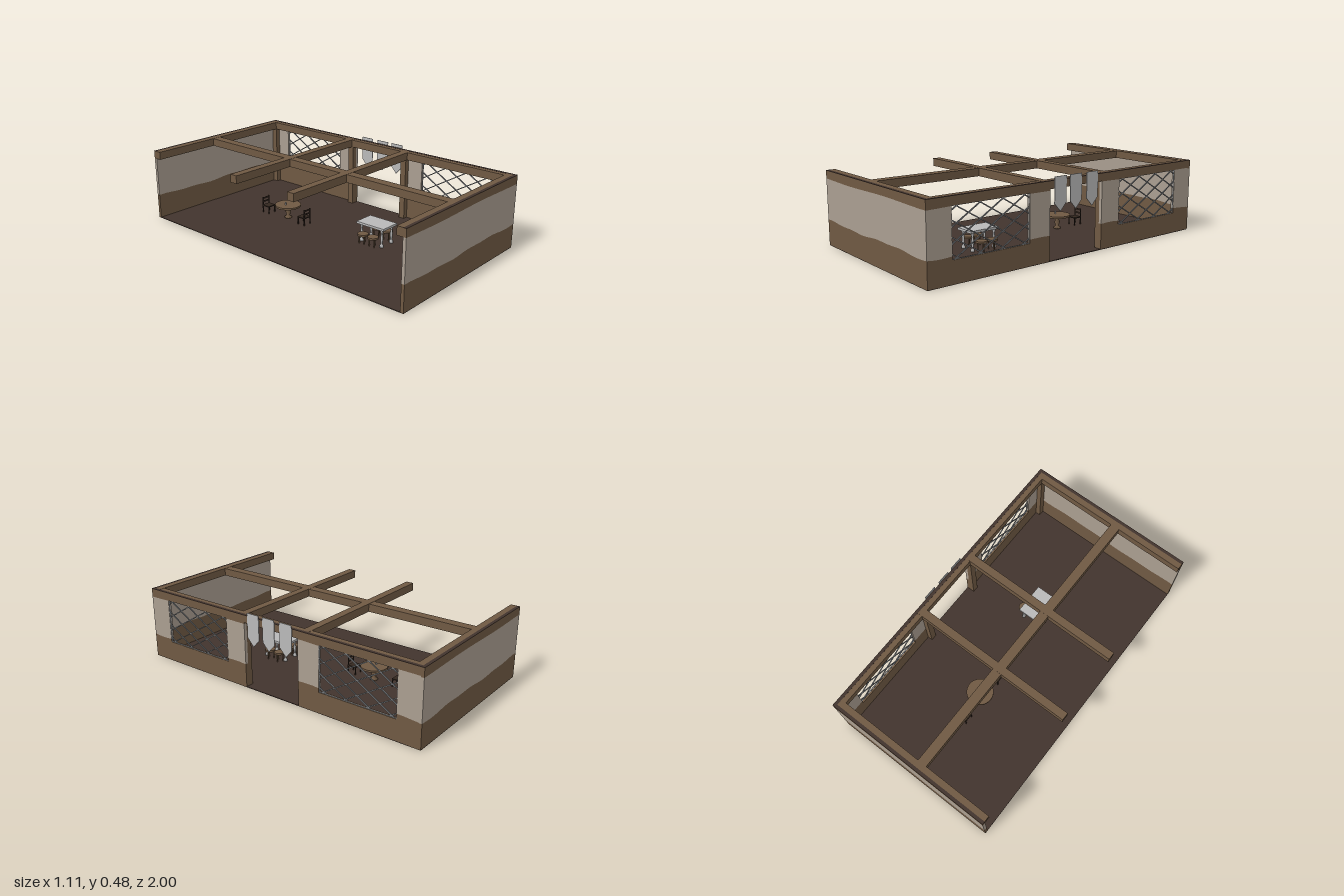
import * as THREE from 'three';

const mat = (name, color) => {
  const m = new THREE.MeshStandardMaterial({ color });
  m.name = name;
  return m;
};

export function createModel() {
  const model = new THREE.Group();
  model.name = 'timberHall';
  const wood = mat('brown timber', 0x6f5943);
  const plaster = mat('plaster', 0xaa9e91);
  const dark = mat('dark floor', 0x42342d);
  const cloth = mat('pale grey', 0xb9b9b9);
  const lead = mat('window lead', 0x85888b);
  const shade = mat('dark chair wood', 0x33271f);

  const add = (parent, name, geo, material, x = 0, y = 0, z = 0) => {
    const m = new THREE.Mesh(geo, material);
    m.name = name;
    m.position.set(x, y, z);
    parent.add(m);
    return m;
  };
  // Box given by its minimum and maximum corners
  const box = (parent, name, material, x0, x1, y0, y1, z0, z1) =>
    add(parent, name, new THREE.BoxGeometry(x1 - x0, y1 - y0, z1 - z0), material,
      (x0 + x1) / 2, (y0 + y1) / 2, (z0 + z1) / 2);
  const group = (name, parent = model) => {
    const g = new THREE.Group();
    g.name = name;
    parent.add(g);
    return g;
  };

  const H = 0.46, T = 0.02, X0 = -0.557, X1 = 0.545;
  box(model, 'floor', dark, X0, X1, 0, 0.004, -1, 1);

  // Uneven edges between timber colour and plaster
  const low = u => 0.154 + 0.005 * Math.sin(u * 9) + 0.003 * Math.sin(u * 23 + 1);
  const high = u => 0.408 + 0.003 * Math.sin(u * 8 + 0.5);
  const band = (parent, name, material, u0, u1, bottom, top) => {
    const pts = [], n = Math.max(2, Math.ceil((u1 - u0) / 0.05));
    for (let i = 0; i <= n; i++) {
      const u = u0 + (u1 - u0) * i / n;
      pts.push(new THREE.Vector2(u, bottom(u)));
    }
    for (let i = n; i >= 0; i--) {
      const u = u0 + (u1 - u0) * i / n;
      pts.push(new THREE.Vector2(u, top(u)));
    }
    const geo = new THREE.ExtrudeGeometry(new THREE.Shape(pts), { depth: T, bevelEnabled: false });
    add(parent, name, geo, material);
  };
  const wallPart = (parent, u0, u1) => {
    band(parent, 'wallBase', wood, u0, u1, () => 0, low);
    band(parent, 'wallPlaster', plaster, u0, u1, low, high);
    band(parent, 'wallHead', wood, u0, u1, high, () => H - 0.002);
  };

  // End walls
  for (const [name, z] of [['frontWall', 1 - T], ['backWall', -1]]) {
    const w = group(name);
    wallPart(w, X0, X1);
    w.position.z = z;
    box(model, name + 'Cap', dark, X0, X1, H - 0.002, H, z, z + T);
  }

  // Long wall with a doorway and two windows (local x runs towards -z)
  const side = group('leftWall');
  side.rotation.y = Math.PI / 2;
  side.position.x = X1 - T;
  for (const s of [-1, 1]) {
    const span = (a, b) => s > 0 ? [a, b] : [-b, -a];
    wallPart(side, ...span(0.2, 0.345));
    wallPart(side, ...span(0.85, 0.98));
    band(side, 'windowSill', wood, ...span(0.345, 0.85), () => 0, () => 0.13);
    band(side, 'windowHead', wood, ...span(0.345, 0.85), () => 0.41, () => H - 0.002);
    lattice(side, ...span(0.345, 0.85), 0.13, 0.41);
  }
  band(side, 'doorHead', wood, -0.2, 0.2, () => 0.413, () => H - 0.002);
  box(model, 'leftWallCap', dark, X1 - T, X1, H - 0.002, H, -0.98, 0.98);

  // Diamond window lattice, each bar clipped to the opening
  function lattice(parent, u0, u1, y0, y1) {
    const g = group('windowLattice', parent);
    const w = u1 - u0, h = y1 - y0, slope = 0.6, t = 0.006, d = T * 0.7;
    const bar = (ax, ay, bx, by) => {
      const len = Math.hypot(bx - ax, by - ay);
      if (len < 0.01) return;
      const m = add(g, 'latticeBar', new THREE.BoxGeometry(len, t, t), lead,
        u0 + (ax + bx) / 2, y0 + (ay + by) / 2, d);
      m.rotation.z = Math.atan2(by - ay, bx - ax);
    };
    for (let c = -slope * w + 0.03; c < h; c += 0.088) {
      const a = Math.max(0, -c / slope), b = Math.min(w, (h - c) / slope);
      if (b <= a) continue;
      bar(a, c + slope * a, b, c + slope * b);
      bar(w - a, c + slope * a, w - b, c + slope * b);
    }
    bar(0, 0, w, 0);
    bar(0, h, w, h);
    bar(0, 0, 0, h);
    bar(w, 0, w, h);
  }

  // Roof beams
  const beams = group('roofBeams');
  const B = 0.41;
  for (const [z0, z1] of [[-0.98, -0.942], [-0.262, -0.212], [0.2, 0.25], [0.942, 0.98]])
    box(beams, 'crossBeam', wood, X0, 0.525, B, H, z0, z1);
  box(beams, 'middleBeam', wood, -0.11, -0.05, B, H - 0.001, -0.95, 0.95);
  box(beams, 'sideBeam', wood, 0.493, 0.525, B, H - 0.001, -0.95, 0.95);

  // Posts in the corners and beside the doorway
  for (const s of [-1, 1])
    for (const [a, b] of [[0.2, 0.24], [0.942, 0.98]])
      box(model, 'post', wood, 0.493, 0.525, 0, B, Math.min(s * a, s * b), Math.max(s * a, s * b));

  // Pointed banners above the doorway
  const flag = new THREE.Shape();
  flag.moveTo(-0.044, 0.48);
  flag.lineTo(-0.044, 0.328);
  flag.lineTo(0, 0.28);
  flag.lineTo(0.044, 0.328);
  flag.lineTo(0.044, 0.48);
  const flagGeo = new THREE.ExtrudeGeometry(flag, { depth: 0.004, bevelEnabled: false });
  for (const z of [0.127, 0.01, -0.117])
    add(model, 'banner', flagGeo, cloth, X1, 0, z).rotation.y = Math.PI / 2;

  // Turned leg profile shared by the tables
  const leg = (r, h) => new THREE.LatheGeometry(
    [[0, 0], [1.5, 0], [1.5, 0.1], [0.7, 0.2], [1.1, 0.5], [0.7, 0.75], [1.3, 0.9], [1.3, 1]]
      .map(([a, b]) => new THREE.Vector2(a * r, b * h)), 10);

  // Long pale table with four stools
  const table = group('longTable');
  box(table, 'tableTop', cloth, 0, 0.135, 0.118, 0.132, 0.24, 0.445);
  for (const x of [0.02, 0.115])
    for (const z of [0.265, 0.42]) add(table, 'tableLeg', leg(0.008, 0.118), cloth, x, 0.004, z);
  for (const x of [-0.005, 0.138])
    for (const z of [0.295, 0.372]) {
      const stool = group('stool', table);
      stool.position.set(x, 0, z);
      add(stool, 'stoolSeat', new THREE.CylinderGeometry(0.034, 0.034, 0.012, 20), wood, 0, 0.062, 0);
      for (let i = 0; i < 3; i++) {
        const a = i * Math.PI * 2 / 3;
        add(stool, 'stoolLeg', new THREE.CylinderGeometry(0.004, 0.004, 0.056, 6), wood,
          0.022 * Math.cos(a), 0.03, 0.022 * Math.sin(a));
      }
    }

  // Round table with a candle
  const round = group('roundTable');
  round.position.set(0, 0, -0.345);
  add(round, 'roundTop', new THREE.CylinderGeometry(0.085, 0.085, 0.012, 32), wood, 0, 0.092, 0);
  add(round, 'roundLeg', leg(0.016, 0.086), wood, 0, 0.004, 0);
  add(round, 'candle', new THREE.CylinderGeometry(0.005, 0.005, 0.02, 8), cloth, -0.02, 0.108, 0);

  // Two chairs facing the round table
  for (const [z, turn] of [[-0.19, 0], [-0.515, Math.PI]]) {
    const chair = group('chair');
    chair.position.set(-0.012, 0, z);
    chair.rotation.y = turn;
    box(chair, 'seat', shade, -0.03, 0.03, 0.05, 0.057, -0.03, 0.03);
    for (const x of [-0.027, 0.027]) {
      box(chair, 'frontLeg', shade, x - 0.003, x + 0.003, 0, 0.05, -0.03, -0.024);
      box(chair, 'backPost', shade, x - 0.003, x + 0.003, 0, 0.112, 0.024, 0.03);
    }
    for (const y of [0.075, 0.098]) box(chair, 'backRail', shade, -0.027, 0.027, y, y + 0.01, 0.025, 0.029);
  }
  return model;
}
